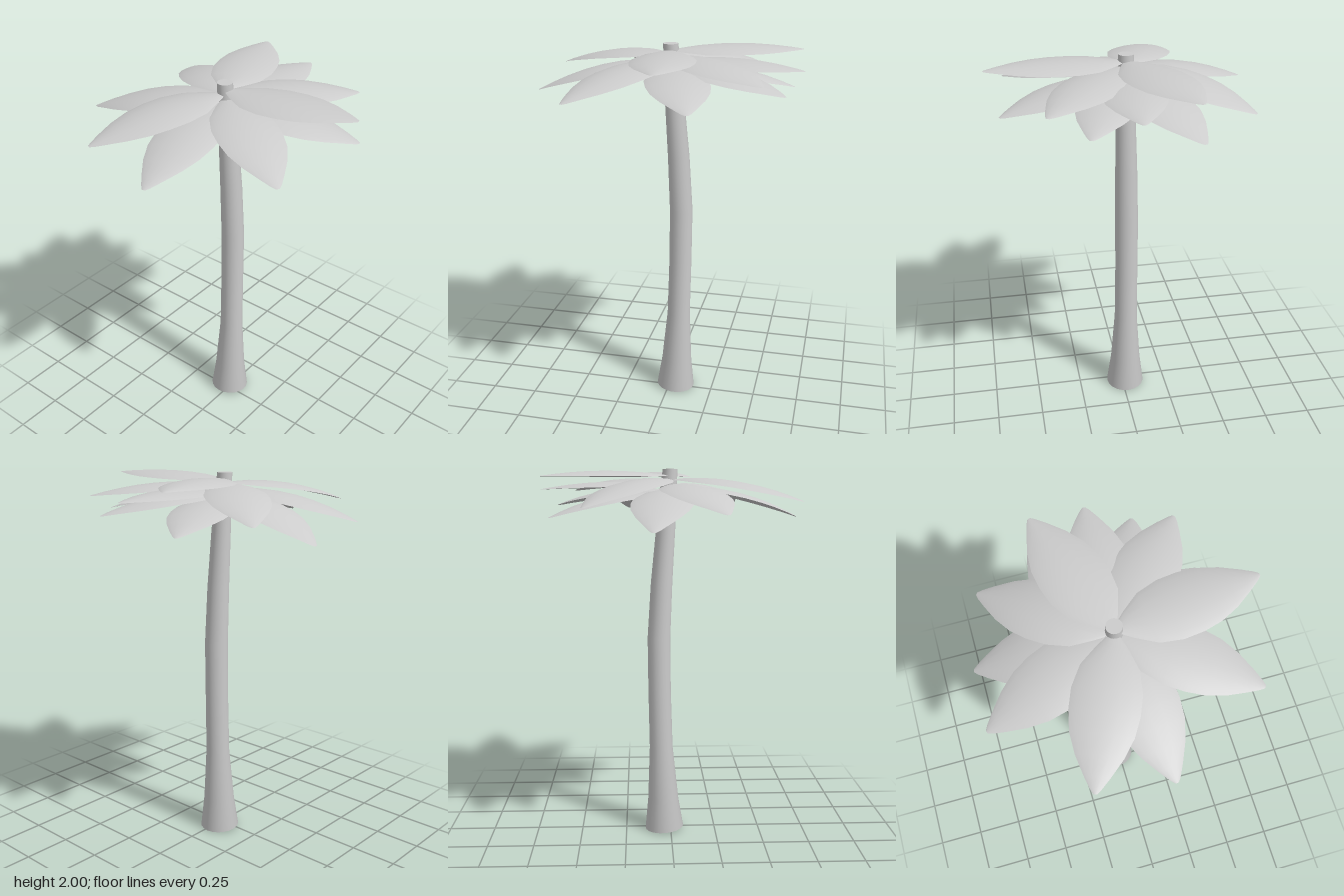
import * as THREE from 'three';

const material = new THREE.MeshStandardMaterial({ color: 0xcccccc, side: THREE.DoubleSide });

// Trunk stations from the ground up: height, centre x, centre z, radius
const TRUNK = [
  [0.007, 0.035, -0.018, 0.107], [0.18, 0.041, -0.019, 0.085], [0.48, 0.052, -0.019, 0.064],
  [0.8, 0.06, -0.02, 0.062], [1.1, 0.063, -0.02, 0.062], [1.4, 0.048, -0.02, 0.058],
  [1.7, 0.025, -0.02, 0.051], [1.88, 0.013, -0.023, 0.045], [2.0, 0.002, -0.025, 0.039],
];

// Fronds: tip x, y, z, then the height where the frond leaves the trunk
const FRONDS = [
  [0.66, 1.96, -0.25, 1.965], [0.08, 1.975, 0.68, 1.965], [0.53, 1.89, 0.42, 1.94],
  [0.43, 1.81, -0.575, 1.945], [-0.66, 1.835, -0.30, 1.945], [-0.24, 1.78, -0.685, 1.915],
  [-0.69, 1.75, 0.065, 1.905], [-0.385, 1.8, 0.575, 1.92], [0.69, 1.895, 0.02, 1.915],
  [0.10, 1.70, -0.68, 1.89], [0.62, 1.81, 0.24, 1.89], [0.62, 1.755, -0.28, 1.875],
  [0.22, 1.79, 0.62, 1.885],
];

// Frond outline: fraction of the length, half width
const OUTLINE = [
  [0, 0.012], [0.1, 0.07], [0.23, 0.132], [0.38, 0.158], [0.52, 0.158],
  [0.65, 0.143], [0.78, 0.107], [0.9, 0.058], [0.97, 0.026], [1, 0.008],
];

function makeTrunk() {
  const rows = TRUNK.length - 1;
  const geo = new THREE.CylinderGeometry(1, 1, 1, 20, rows);
  const p = geo.attributes.position;
  for (let i = 0; i < p.count; i++) {
    const row = Math.round((p.getY(i) + 0.5) * rows);
    const [y, cx, cz, r] = TRUNK[row];
    // the foot is cut at a slight slant
    const slant = row === 0 ? -0.007 * p.getX(i) : 0;
    p.setXYZ(i, cx + p.getX(i) * r, y + slant, cz + p.getZ(i) * r);
  }
  const mesh = new THREE.Mesh(geo, material);
  mesh.name = 'trunk';
  return mesh;
}

// A thin arched blade: an upper and a lower sheet meeting at a sharp rim
function makeFrond([tx, ty, tz, baseY], index) {
  const root = new THREE.Vector3(0, baseY, -0.025);
  const dir = new THREE.Vector3(tx - root.x, 0, tz - root.z);
  const length = dir.length();
  dir.normalize();
  const side = new THREE.Vector3(-dir.z, 0, dir.x);
  const across = [-1, -0.8, -0.4, 0, 0.4, 0.8, 1];
  const n = across.length;
  const positions = [], indices = [];

  for (const top of [true, false]) {
    const start = positions.length / 3;
    OUTLINE.forEach(([t, w], row) => {
      // rises a little, then droops towards the tip
      const spine = baseY + (ty - baseY) * t ** 1.7 + 0.1 * t * (1 - t);
      across.forEach((u, col) => {
        const arch = 0.18 * w * Math.abs(u) ** 2.5;
        const thickness = top ? 0 : 0.1 * w * (1 - u * u);
        const v = root.clone().addScaledVector(dir, t * length).addScaledVector(side, u * w);
        positions.push(v.x, spine - arch - thickness, v.z);
        if (row && col) {
          const d = start + row * n + col, c = d - 1, b = d - n, a = b - 1;
          if (top) indices.push(a, d, b, a, c, d);
          else indices.push(a, b, d, a, d, c);
        }
      });
    });
  }

  const geo = new THREE.BufferGeometry();
  geo.setAttribute('position', new THREE.Float32BufferAttribute(positions, 3));
  geo.setIndex(indices);
  geo.computeVertexNormals();
  const mesh = new THREE.Mesh(geo, material);
  mesh.name = `frond${index + 1}`;
  return mesh;
}

export function createModel() {
  const model = new THREE.Group();
  model.name = 'palmTree';
  const crown = new THREE.Group();
  crown.name = 'crown';
  FRONDS.forEach((frond, i) => crown.add(makeFrond(frond, i)));
  model.add(makeTrunk(), crown);
  return model;
}
